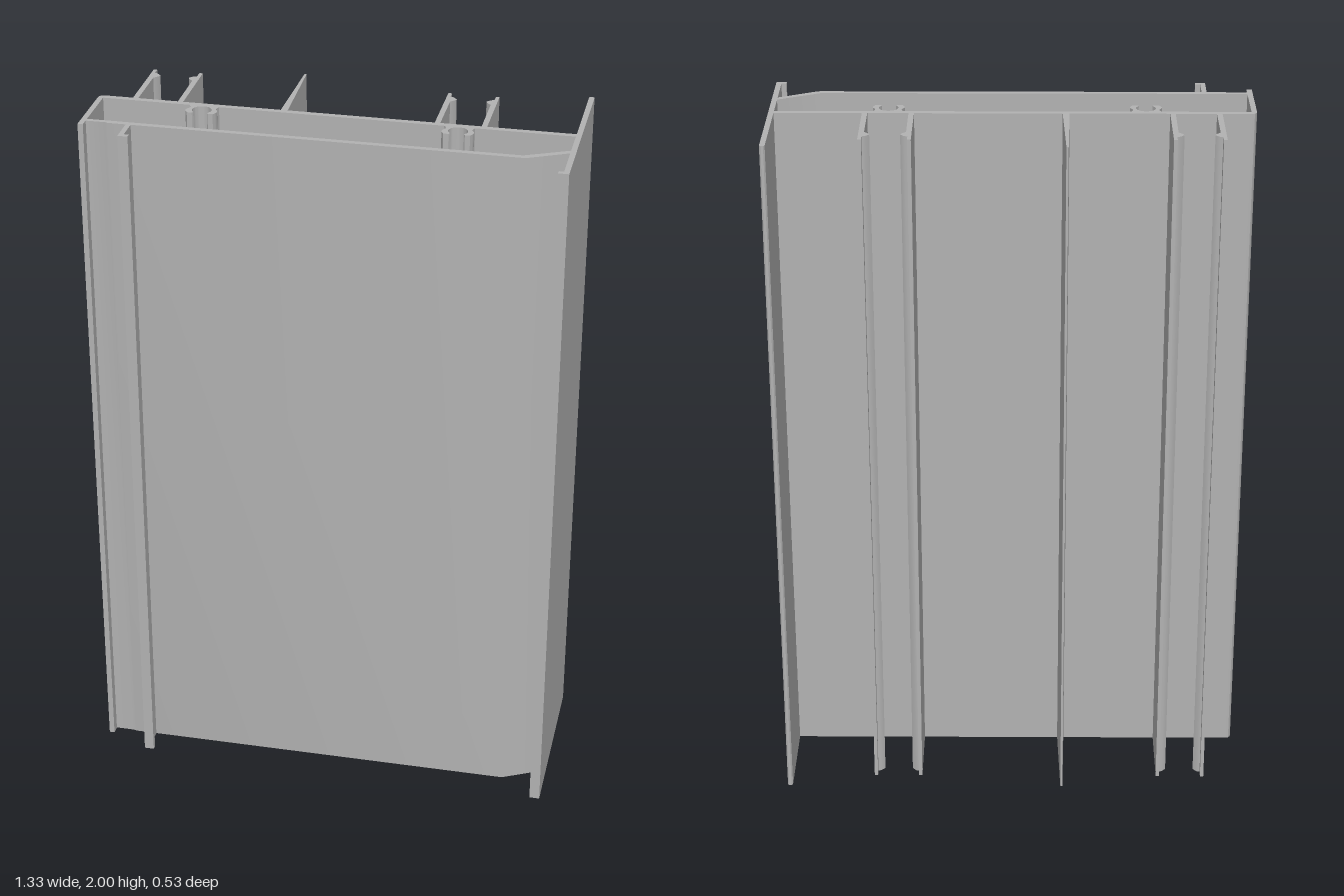
import * as THREE from 'three';
import { toCreasedNormals } from 'three/addons/utils/BufferGeometryUtils.js';

const LENGTH = 2;

export function createModel() {
  const model = new THREE.Group();
  model.name = 'extrudedProfile';
  const aluminium = new THREE.MeshStandardMaterial({ color: 0xb2b2b2 });
  aluminium.name = 'aluminium grey';

  // Extrude a plan outline of [x, z] points upward; optional mirror and x offset
  function bar(name, points, offset = 0, side = 1) {
    const shape = new THREE.Shape(points.map(([x, z]) => new THREE.Vector2(offset + side * x, -z)));
    const geometry = new THREE.ExtrudeGeometry(shape, { depth: LENGTH, bevelEnabled: false });
    geometry.rotateX(-Math.PI / 2);
    const mesh = new THREE.Mesh(toCreasedNormals(geometry, 0.6), aluminium);
    mesh.name = name;
    model.add(mesh);
  }

  // Points along a smooth curve through the given [x, z] points
  const smooth = (points, n) => new THREE.SplineCurve(points.map(p => new THREE.Vector2(...p)))
    .getPoints(n).map(p => [p.x, p.y]);

  // Hollow box: back web, left wall with rounded corner, front web with chamfer
  bar('backWeb', [[-0.65, 0], [0.65, 0], [0.65, 0.017], [-0.65, 0.017]]);
  bar('leftWall', [[-0.65, 0], [-0.65, 0.208], [-0.665, 0.208], [-0.665, 0.015],
    [-0.663, 0.008], [-0.658, 0.002]]);
  bar('frontWeb', [[-0.65, 0.169], [0.532, 0.169], [0.65, 0.112], [0.65, 0.13],
    [0.545, 0.183], [0.536, 0.185], [-0.588, 0.185], [-0.595, 0.182], [-0.65, 0.182]]);

  // Tall right wall with rounded back tip and a small front foot
  bar('rightWall', [[0.65, -0.262], [0.654, -0.266], [0.661, -0.266], [0.665, -0.262],
    [0.665, 0.264], [0.636, 0.264], [0.636, 0.25], [0.65, 0.25]]);

  // L-shaped hook on the front
  bar('frontHook', [[-0.538, 0.185], [-0.524, 0.185], [-0.524, 0.25], [-0.51, 0.25],
    [-0.51, 0.264], [-0.538, 0.264]]);

  // Tapered centre fin
  bar('centreFin', [[-0.155, 0], [-0.149, -0.266], [-0.143, -0.266], [-0.136, 0]]);

  // Mirrored pairs of snap fins with barbs facing inward
  const snapFin = [[-0.071, 0], [-0.071, -0.212], [-0.061, -0.212], [-0.061, -0.188],
    [-0.052, -0.185], [-0.041, -0.173], [-0.044, -0.165], [-0.056, -0.152], [-0.056, 0]];
  // Mirrored arms of the round screw ports
  const portArm = [
    ...smooth([[-0.041, 0.017], [-0.036, 0.032], [-0.043, 0.046], [-0.043, 0.056], [-0.036, 0.069]], 12),
    [-0.022, 0.069], [-0.019, 0.065],
    ...smooth([[-0.021, 0.061], [-0.027, 0.049], [-0.024, 0.034], [-0.014, 0.023], [0, 0.019]], 12),
    [0, 0.017],
  ];
  for (const side of [1, -1]) {
    for (const x of [-0.499, 0.339]) bar('snapFin', snapFin, x, side);
    for (const x of [-0.364, 0.339]) bar('screwPortArm', portArm, x, side);
  }
  return model;
}
